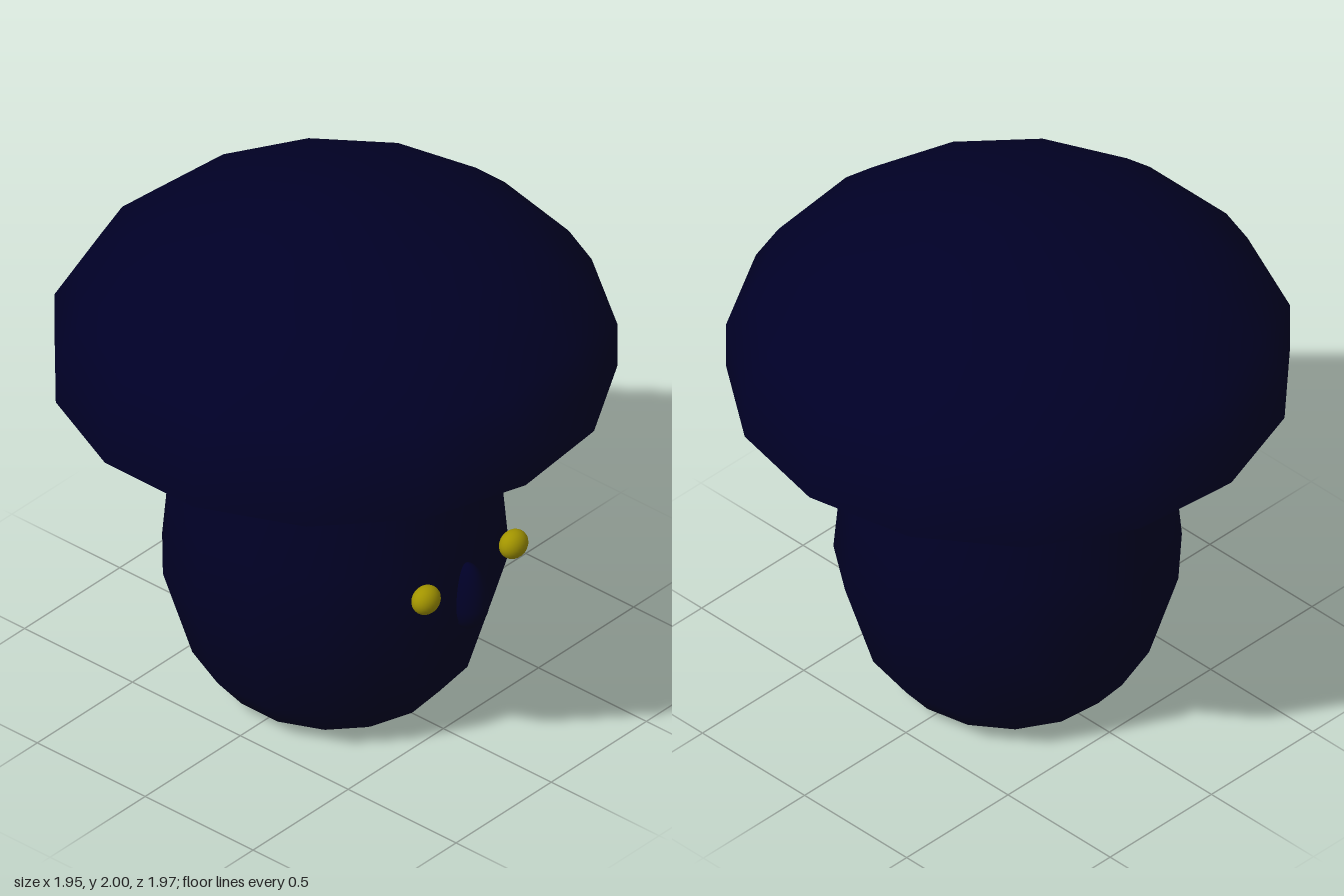
import * as THREE from 'three';

const SIDES = 15;
const navy = new THREE.MeshStandardMaterial({ color: 0x000026 });
const yellow = new THREE.MeshStandardMaterial({ color: 0xa29400 });

// Smooth 15-sided lathe with one corner on +x; points run bottom to top
function lathe(name, x, points) {
  const profile = points.map(([r, y]) => new THREE.Vector2(r, y));
  const mesh = new THREE.Mesh(new THREE.LatheGeometry(profile, SIDES, Math.PI / 2), navy);
  mesh.name = name;
  mesh.position.x = x;
  return mesh;
}

function ellipsoid(name, material, radii, position) {
  const geometry = new THREE.SphereGeometry(1, 24, 16).scale(...radii);
  const mesh = new THREE.Mesh(geometry, material);
  mesh.name = name;
  mesh.position.set(...position);
  return mesh;
}

export function createModel() {
  const group = new THREE.Group();
  group.name = 'mushroom';

  // Bulging stem that runs up into the hollow of the cap, flat underneath
  group.add(lathe('stem', -0.007, [
    [0.335, 0], [0.4, 0.045], [0.505, 0.175], [0.61, 0.52],
    [0.585, 0.8], [0.535, 1.12], [0.488, 1.3], [0.43, 1.42],
  ]));
  group.add(lathe('stemBase', -0.007, [[0, 0], [0.335, 0]]));

  // Domed cap
  group.add(lathe('cap', -0.012, [
    [0.988, 1.3], [0.988, 1.475], [0.9, 1.62], [0.752, 1.755], [0.612, 1.84],
    [0.49, 1.89], [0.325, 1.952], [0.13, 2], [0, 2],
  ]));

  // Shallow hollow under the cap, sloping up towards the stem
  group.add(lathe('capUnderside', -0.012, [[0.4, 1.41], [0.7, 1.37], [0.988, 1.3]]));

  // Eyes
  for (const [name, x] of [['rightEye', -0.195], ['leftEye', 0.265]]) {
    group.add(ellipsoid(name, yellow, [0.058, 0.053, 0.046], [x, 0.683, 0.592]));
  }

  // Egg-shaped nose: narrower and longer towards the top
  const nose = ellipsoid('nose', navy, [0.073, 0.1, 0.073], [0.027, 0.56, 0.593]);
  const p = nose.geometry.attributes.position;
  for (let i = 0; i < p.count; i++) {
    const y = p.getY(i);
    if (y > 0) p.setXY(i, p.getX(i) * (1 - 2 * y), y * 1.63);
  }
  nose.geometry.computeVertexNormals();
  group.add(nose);

  return group;
}
